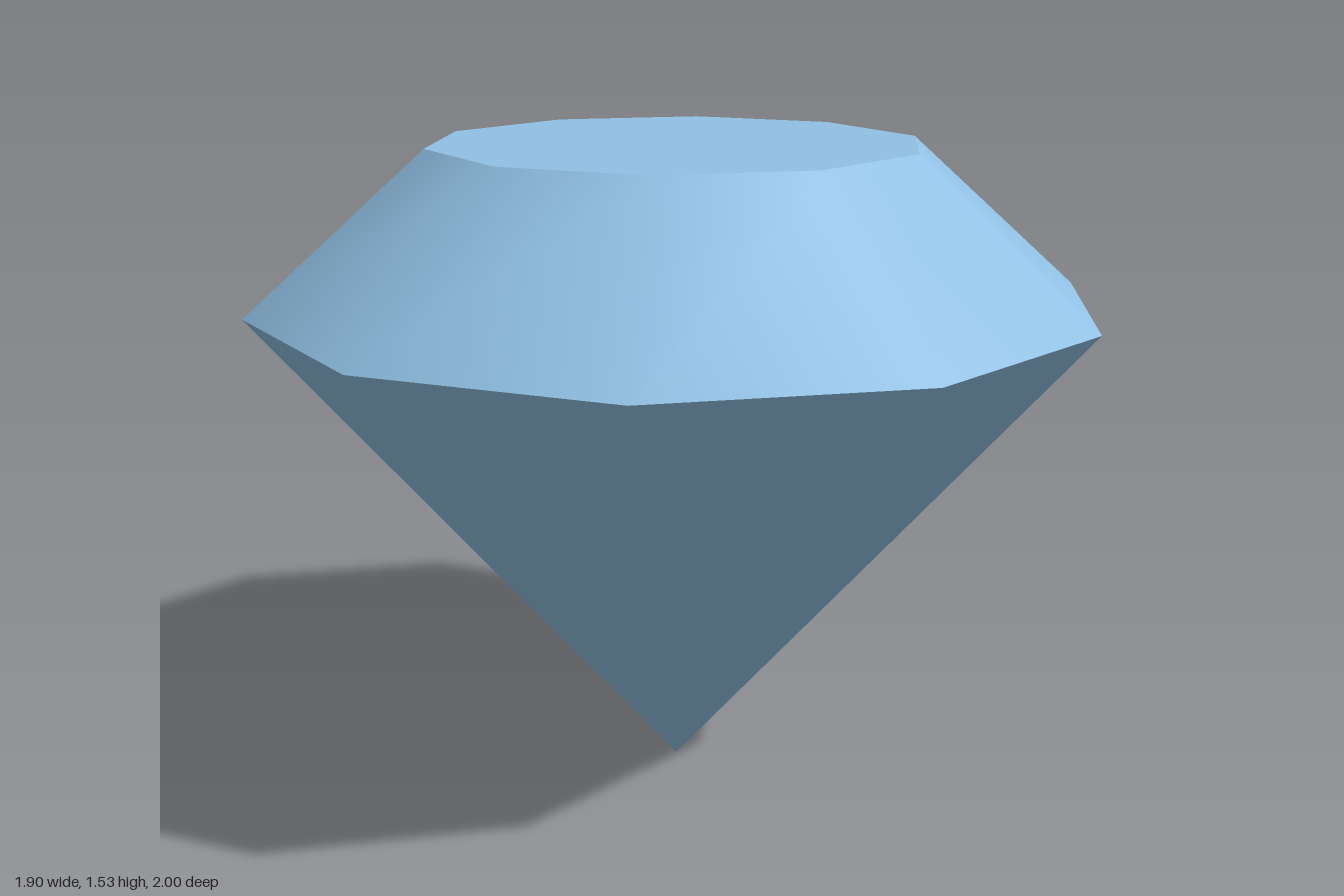
import * as THREE from 'three';

export function createModel() {
  const group = new THREE.Group();
  group.name = 'gem';
  const gemBlue = new THREE.MeshStandardMaterial({ color: 0x90c0e4 });
  gemBlue.name = 'gem blue';

  const sides = 10, girdleRadius = 1, tableRadius = 0.58;
  const girdleY = 1.16, topY = 1.53;

  const add = (name, geometry, y) => {
    const mesh = new THREE.Mesh(geometry, gemBlue);
    mesh.name = name;
    mesh.position.y = y;
    group.add(mesh);
    return mesh;
  };

  // Lower cone, point down
  add('pavilion', new THREE.CylinderGeometry(girdleRadius, 0, girdleY, sides, 1, true), girdleY / 2);

  // Sloping upper band
  add('crown', new THREE.CylinderGeometry(tableRadius, girdleRadius, topY - girdleY, sides, 1, true), (girdleY + topY) / 2);

  // Flat top, with a corner facing the front
  const table = new THREE.CircleGeometry(tableRadius, sides, Math.PI / 2);
  table.rotateX(-Math.PI / 2);
  add('table', table, topY);

  return group;
}
